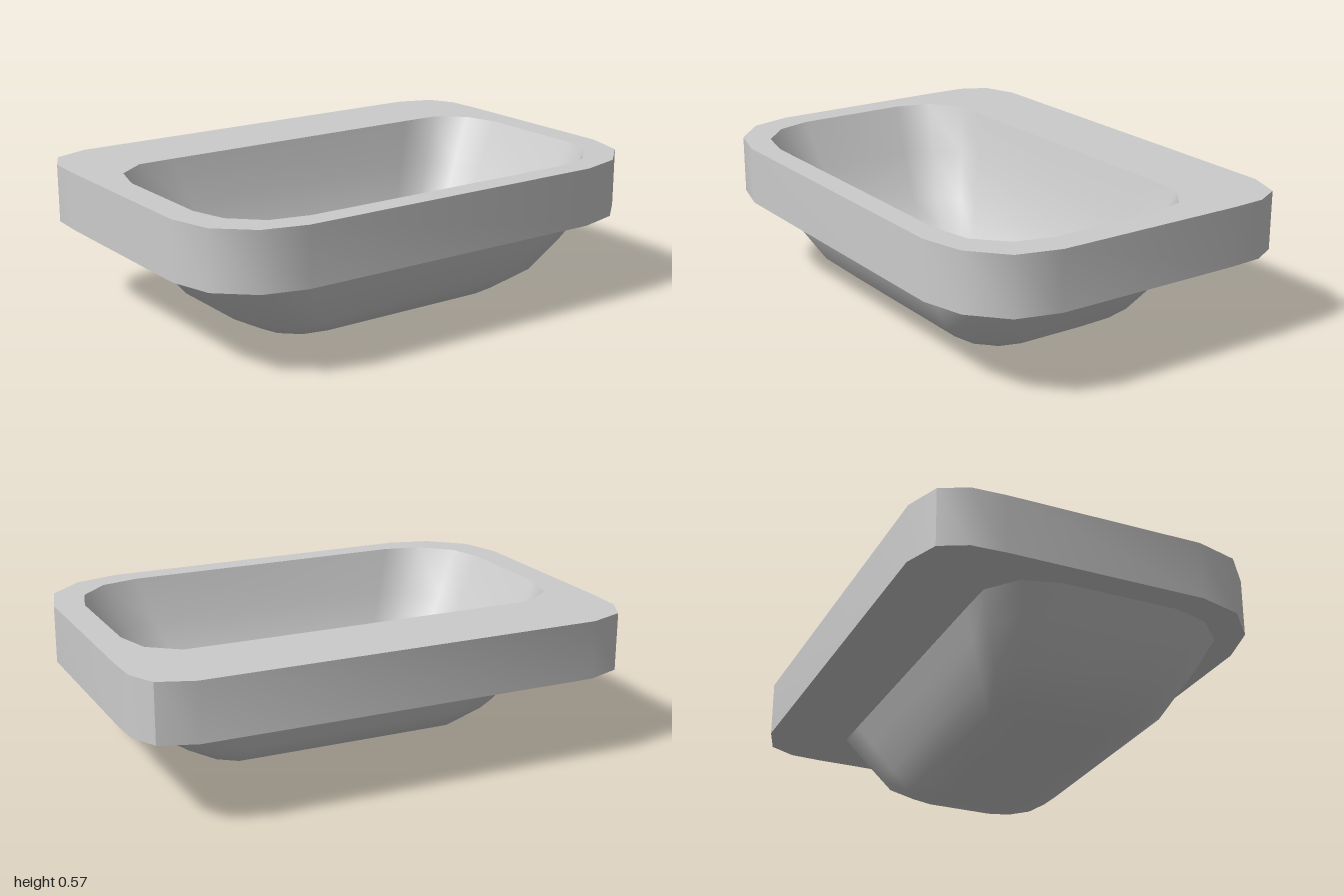
import * as THREE from 'three';
import { toCreasedNormals } from 'three/addons/utils/BufferGeometryUtils.js';

const material = new THREE.MeshStandardMaterial({ color: 0xcccccc });

// Close a half outline (x, z >= 0) by mirroring it in z.
const mirrored = (half) => [
  ...half.map(([x, z]) => new THREE.Vector2(x, z)),
  ...half.slice().reverse().map(([x, z]) => new THREE.Vector2(x, -z)),
];

const slabOutline = mirrored([
  [0.7, 0.65], [0.655, 0.82], [0.535, 0.953], [0.365, 1],
  [-0.41, 1], [-0.545, 0.993], [-0.65, 0.94], [-0.7, 0.8],
]);
const holeOutline = mirrored([
  [0.607, 0.58], [0.572, 0.735], [0.465, 0.846], [0.325, 0.887],
  [-0.13, 0.887], [-0.275, 0.846], [-0.363, 0.73], [-0.365, 0.58],
]);

// Smooth bowl from rings [y, xMin, xMax, zMax], each a fitted copy of the hole outline.
function bowlGeometry(rings, inward) {
  const n = holeOutline.length;
  const positions = [];
  const index = [];
  for (const [y, x0, x1, z] of rings) {
    for (const p of holeOutline) {
      const t = (p.x + 0.365) / 0.972;
      positions.push(x0 + t * (x1 - x0), y, (-p.y / 0.887) * z);
    }
  }
  const [floorY, floorX0, floorX1] = rings[rings.length - 1];
  positions.push((floorX0 + floorX1) / 2, floorY, 0);
  const centre = rings.length * n;
  const face = (a, b, c) => index.push(...(inward ? [a, c, b] : [a, b, c]));
  for (let r = 0; r < rings.length; r++) {
    for (let j = 0; j < n; j++) {
      const a = r * n + j;
      const b = r * n + ((j + 1) % n);
      if (r === rings.length - 1) {
        face(a, centre, b);
      } else {
        face(a, a + n, b);
        face(b, a + n, b + n);
      }
    }
  }
  const geometry = new THREE.BufferGeometry();
  geometry.setAttribute('position', new THREE.Float32BufferAttribute(positions, 3));
  geometry.setIndex(index);
  geometry.computeVertexNormals();
  return geometry;
}

export function createModel() {
  const group = new THREE.Group();
  group.name = 'sink';
  const add = (name, geometry) => {
    const mesh = new THREE.Mesh(geometry, material);
    mesh.name = name;
    group.add(mesh);
  };

  // Thick rim slab with the basin opening set towards +x
  const shape = new THREE.Shape(slabOutline);
  shape.holes.push(new THREE.Path(holeOutline));
  const slab = new THREE.ExtrudeGeometry(shape, { depth: 0.23, bevelEnabled: false });
  slab.rotateX(-Math.PI / 2).translate(0, 0.34, 0);
  add('rimSlab', toCreasedNormals(slab, 0.7));

  // Underside of the basin
  add('basinOutside', bowlGeometry([
    [0.34, -0.383, 0.607, 0.89],
    [0.24, -0.333, 0.56, 0.805],
    [0.11, -0.265, 0.482, 0.695],
    [0.03, -0.195, 0.385, 0.555],
    [0, -0.06, 0.26, 0.405],
  ], false));

  // Inside of the basin, rising to the top of the rim
  add('basinInside', bowlGeometry([
    [0.57, -0.365, 0.607, 0.887],
    [0.38, -0.322, 0.555, 0.795],
    [0.2, -0.255, 0.475, 0.685],
    [0.09, -0.18, 0.375, 0.545],
    [0.05, -0.06, 0.26, 0.4],
  ], true));

  return group;
}
